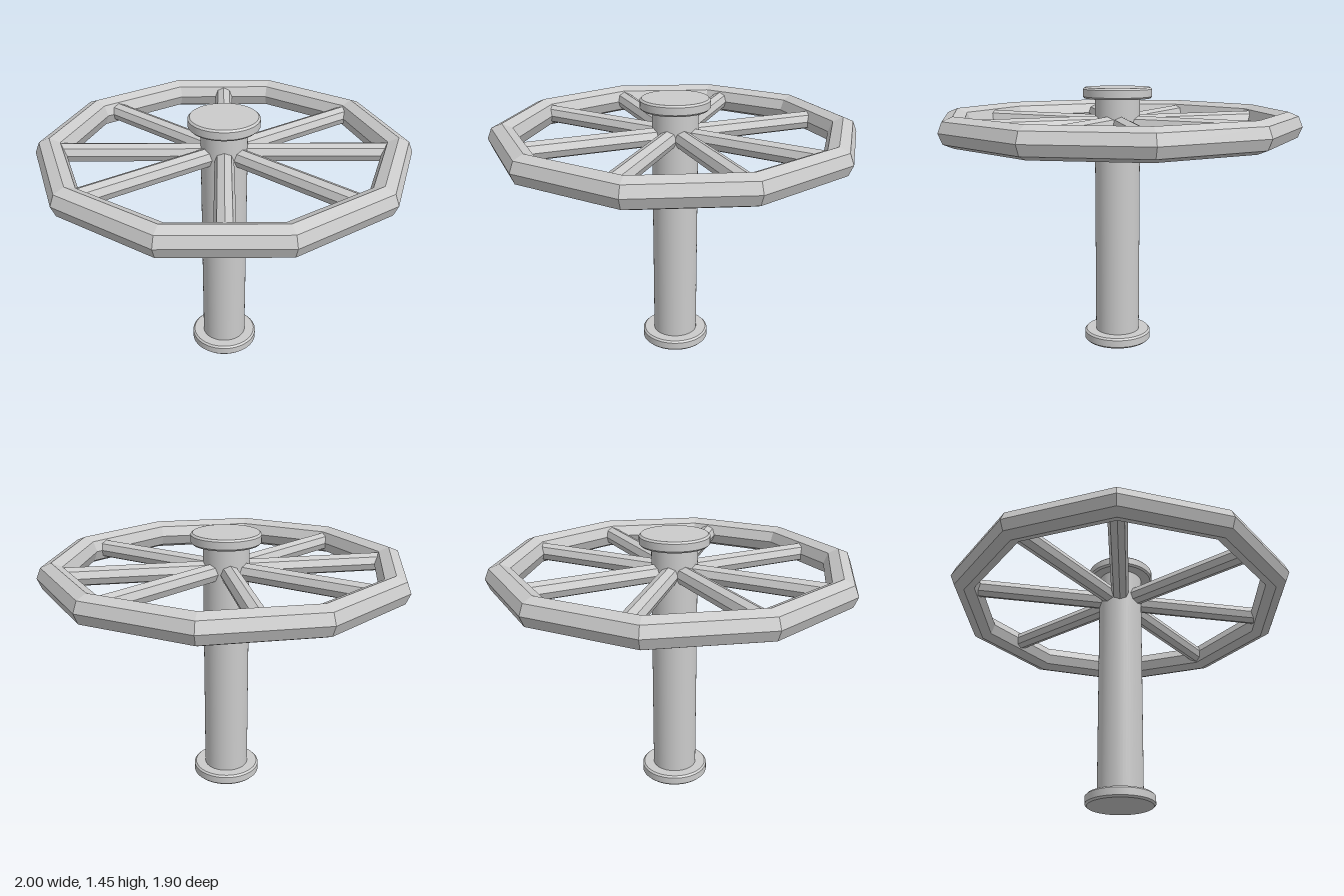
import * as THREE from 'three';
import { toCreasedNormals } from 'three/addons/utils/BufferGeometryUtils.js';

const smooth = new THREE.MeshStandardMaterial({ color: 0xcccccc });
const faceted = new THREE.MeshStandardMaterial({ color: 0xcccccc, flatShading: true });

function addPart(group, name, geometry, material, y) {
  const mesh = new THREE.Mesh(geometry, material);
  mesh.name = name;
  mesh.position.y = y;
  group.add(mesh);
  return mesh;
}

// Round disc with small bevels, standing on its own y = 0
function bevelledDisc(radius, height, bevel) {
  const profile = [
    [0, 0], [radius - bevel, 0], [radius, bevel],
    [radius, height - bevel], [radius - bevel, height], [0, height],
  ].map(([x, y]) => new THREE.Vector2(x, y));
  return toCreasedNormals(new THREE.LatheGeometry(profile, 48), Math.PI / 6);
}

export function createModel() {
  const model = new THREE.Group();
  model.name = 'handwheel';
  const wheelY = 1.25;

  // Central post with a flange at each end
  addPart(model, 'post', new THREE.CylinderGeometry(0.125, 0.125, 1.38, 48), smooth, 0.73);
  addPart(model, 'bottomFlange', bevelledDisc(0.19, 0.06, 0.01), smooth, 0);
  addPart(model, 'topFlange', bevelledDisc(0.19, 0.06, 0.01), smooth, 1.394);

  // Ten-sided rim with an octagonal section
  const rim = new THREE.TorusGeometry(0.92, 0.08, 8, 10).rotateX(Math.PI / 2);
  addPart(model, 'rim', rim, faceted, wheelY);

  // Octagonal spokes, each starting inside the post and ending inside the rim
  const spokeGeometry = new THREE.CylinderGeometry(0.051, 0.051, 0.82, 8)
    .rotateZ(Math.PI / 2)
    .translate(0.47, 0, 0);
  const spokes = new THREE.Group();
  spokes.name = 'spokes';
  for (const angle of [0, 36, 90, 138]) {
    for (const turn of [0, 180]) {
      const spoke = addPart(spokes, 'spoke', spokeGeometry, faceted, wheelY);
      spoke.rotation.y = THREE.MathUtils.degToRad(angle + turn);
    }
  }
  model.add(spokes);

  return model;
}
